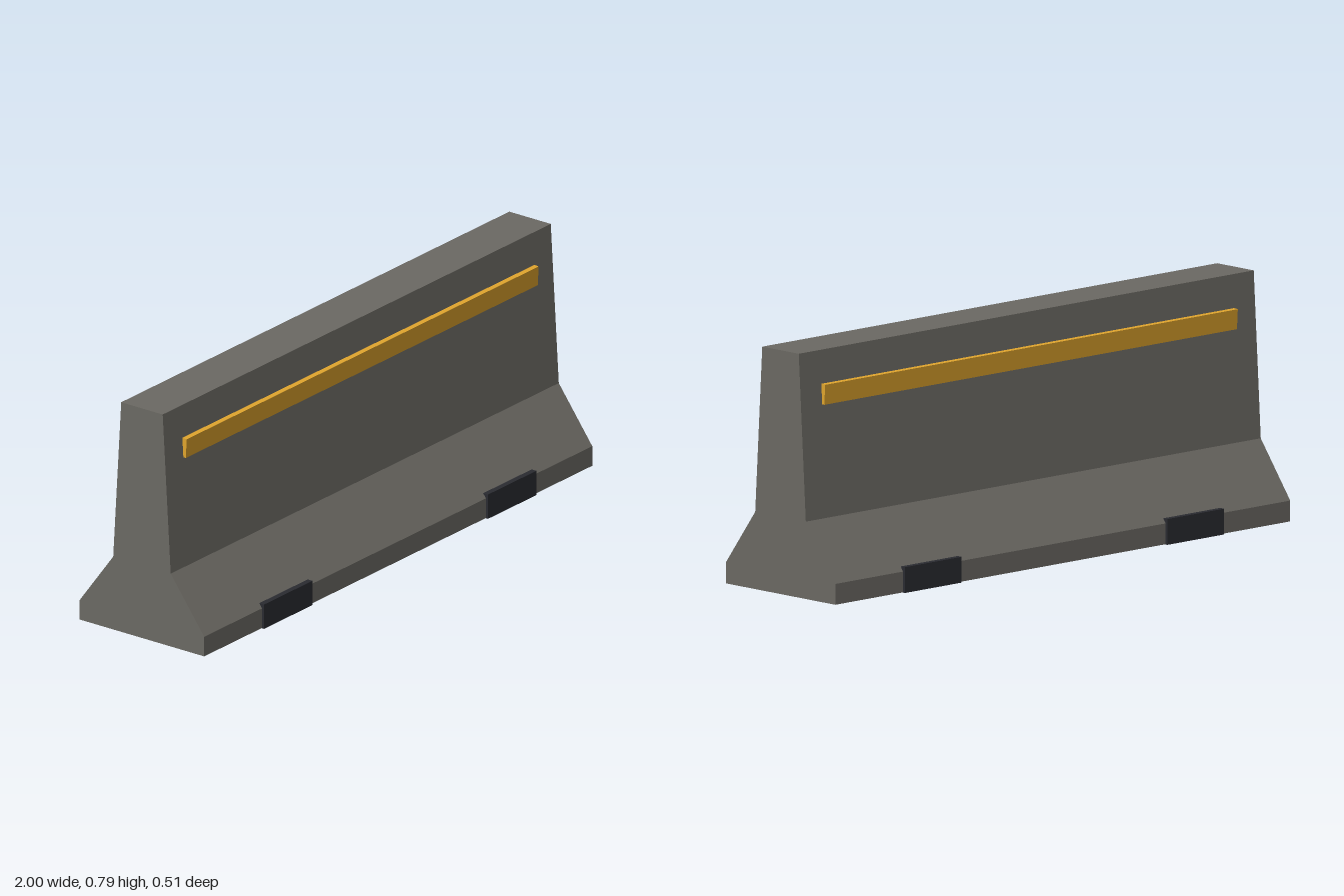
import * as THREE from 'three';

export function createModel() {
  const model = new THREE.Group();
  model.name = 'roadBarrier';

  const concrete = new THREE.MeshStandardMaterial({ color: 0x6b6963 });
  const yellow = new THREE.MeshStandardMaterial({ color: 0xe0a52d });
  const rubber = new THREE.MeshStandardMaterial({ color: 0x2a2b31 });

  const addBox = (name, size, position, material) => {
    const mesh = new THREE.Mesh(new THREE.BoxGeometry(...size), material);
    mesh.name = name;
    mesh.position.set(...position);
    model.add(mesh);
    return mesh;
  };

  // Concrete body: symmetric stepped profile extruded along x
  const half = [[0.249, 0.001], [0.249, 0.068], [0.115, 0.25], [0.083, 0.786]];
  const outline = [...half, ...half.map(([z, y]) => [-z, y]).reverse()];
  const profile = new THREE.Shape(outline.map(([z, y]) => new THREE.Vector2(z, y)));
  const bodyGeometry = new THREE.ExtrudeGeometry(profile, { depth: 2, bevelEnabled: false });
  bodyGeometry.translate(0, 0, -1).rotateY(Math.PI / 2);
  const body = new THREE.Mesh(bodyGeometry, concrete);
  body.name = 'concreteBody';
  model.add(body);

  // Reflective strips, tilted slightly outward at the top
  for (const side of [1, -1]) {
    const name = side > 0 ? 'frontStrip' : 'backStrip';
    const strip = addBox(name, [1.814, 0.065, 0.02], [0, 0.645, side * 0.095], yellow);
    strip.rotation.x = side * 0.06;
  }

  // Rubber feet running under the full depth
  for (const side of [1, -1]) {
    const name = side > 0 ? 'leftFoot' : 'rightFoot';
    addBox(name, [0.25, 0.083, 0.514], [side * 0.577, 0.0415, 0], rubber);
  }

  return model;
}
